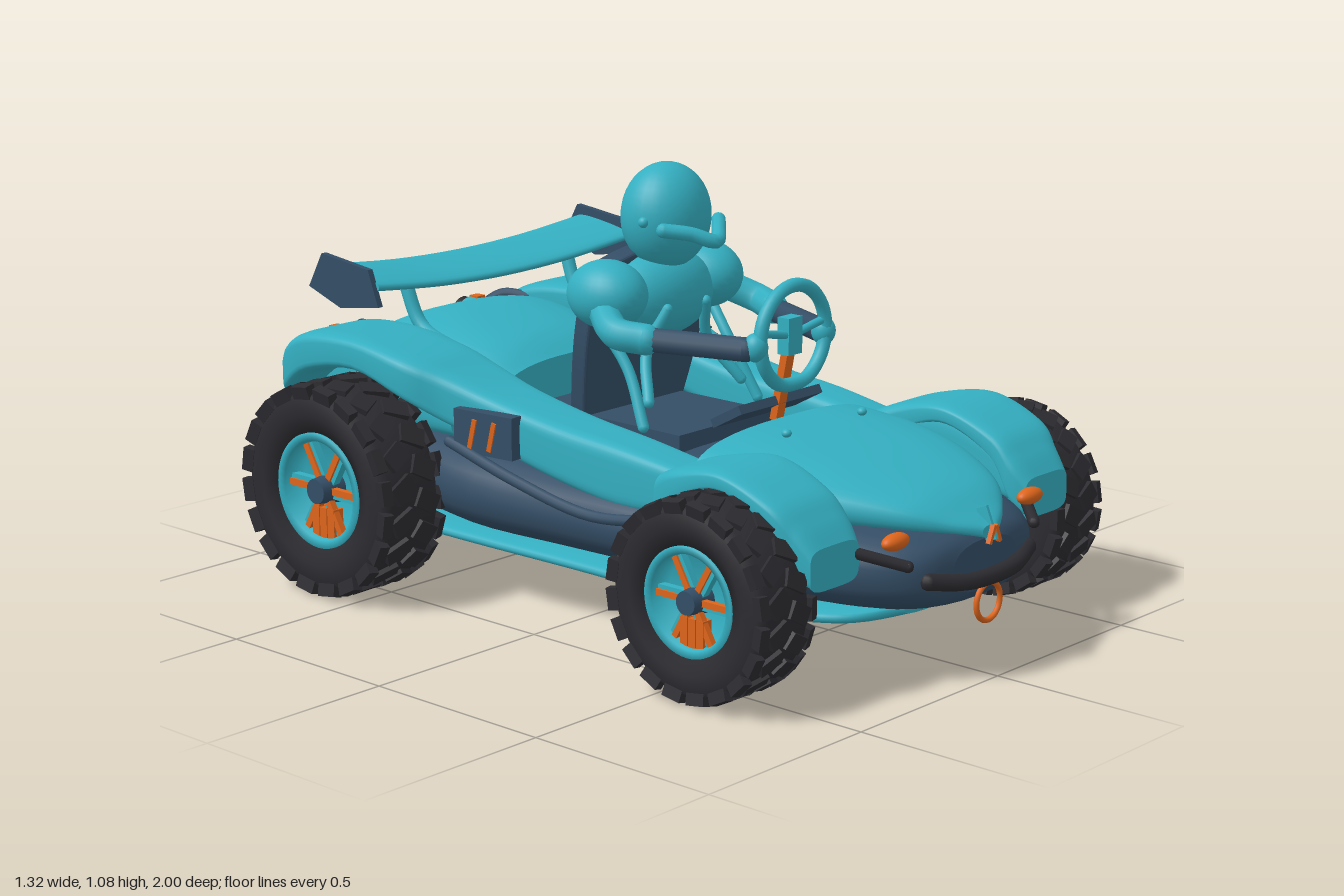
import * as THREE from 'three';

const mat = (name, color) => new THREE.MeshStandardMaterial({ name, color });
const V = (x, y, z) => new THREE.Vector3(x, y, z);

export function createModel() {
  const teal = mat('teal paint', 0x34afc1), navy = mat('navy trim', 0x344e66);
  const orange = mat('orange accent', 0xdd651c), black = mat('black rubber', 0x2c2b30);
  const tealTwoSided = mat('teal rim', 0x34afc1);
  tealTwoSided.side = THREE.DoubleSide;
  const car = new THREE.Group();
  car.name = 'buggy';

  const add = (name, geo, material, pos = [0, 0, 0], rot = [0, 0, 0], parent = car) => {
    const m = new THREE.Mesh(geo, material);
    m.name = name;
    m.position.set(...pos);
    m.rotation.set(...rot);
    parent.add(m);
    return m;
  };
  const box = (x, y, z) => new THREE.BoxGeometry(x, y, z);
  const ball = (name, m, pos, scale) =>
    add(name, new THREE.SphereGeometry(1, 28, 20), m, pos).scale.set(...scale);
  const tube = (name, m, pts, r, closed = false) => {
    const path = new THREE.CatmullRomCurve3(pts.map(p => V(...p)), closed);
    add(name, new THREE.TubeGeometry(path, closed ? 48 : 20, r, 10, closed), m);
    if (!closed) for (const p of [pts[0], pts[pts.length - 1]])
      add(name + 'End', new THREE.SphereGeometry(r, 10, 8), m, p);
  };

  // Smooth hull through rows of [z, centreX, halfWidth, bottom, top], listed front to back
  const hull = (rows, power, steps = 36, n = 40) => {
    const cols = [1, 2, 3, 4].map(k => new THREE.SplineCurve(rows.map(r => new THREE.Vector2(r[0], r[k]))));
    const pos = [], idx = [];
    const se = v => Math.sign(v) * Math.abs(v) ** (2 / power);
    for (let j = 0; j <= steps; j++) {
      const [c, w, b, t] = cols.map(s => s.getPoint(j / steps));
      for (let i = 0; i < n; i++) {
        const a = i / n * Math.PI * 2;
        pos.push(c.y + w.y * se(Math.cos(a)), (b.y + t.y) / 2 + (t.y - b.y) / 2 * se(Math.sin(a)), c.x);
        if (j < steps) {
          const p = j * n + i, q = j * n + (i + 1) % n;
          idx.push(p, p + n, q, q, p + n, q + n);
        }
      }
    }
    // End caps with their own vertices
    for (const j of [0, steps]) {
      const s = pos.length / 3, r = rows[j ? rows.length - 1 : 0];
      for (let i = 0; i < n; i++) pos.push(...pos.slice((j * n + i) * 3, (j * n + i) * 3 + 3));
      pos.push(r[1], (r[3] + r[4]) / 2, r[0]);
      for (let i = 0; i < n; i++) {
        const k = (i + 1) % n;
        idx.push(s + n, s + (j ? k : i), s + (j ? i : k));
      }
    }
    const g = new THREE.BufferGeometry();
    g.setAttribute('position', new THREE.Float32BufferAttribute(pos, 3));
    g.setIndex(idx);
    g.computeVertexNormals();
    return g;
  };

  // Body
  add('tub', hull([[.957, 0, .12, .2, .32], [.93, 0, .21, .175, .345], [.85, 0, .29, .155, .37], [.7, 0, .36, .15, .39],
    [.4, 0, .425, .15, .41], [0, 0, .465, .15, .42], [-.3, 0, .485, .15, .44], [-.6, 0, .43, .17, .47],
    [-.85, 0, .4, .2, .51], [-.93, 0, .34, .24, .49]], 2.5), navy);
  add('hood', hull([[.97, 0, .03, .325, .355], [.93, 0, .1, .335, .38], [.85, 0, .19, .335, .425], [.7, 0, .28, .33, .465],
    [.55, 0, .325, .33, .49], [.45, 0, .335, .33, .5], [.36, 0, .335, .34, .505]], 2.6), teal);
  add('rearDeck', hull([[-.35, 0, .25, .4, .55], [-.45, 0, .27, .4, .6], [-.65, 0, .285, .42, .635], [-.8, 0, .29, .43, .61],
    [-.9, 0, .27, .44, .55], [-.95, 0, .22, .45, .5]], 2.5), teal);
  for (const s of [1, -1]) {
    add('frontFender', hull([[.84, .4 * s, .085, .27, .37], [.8, .4 * s, .1, .3, .42], [.74, .41 * s, .11, .4, .47],
      [.6, .41 * s, .115, .465, .515], [.46, .41 * s, .11, .41, .495], [.37, .38 * s, .1, .32, .46]], 4.5), teal);
    add('frontInnerFender', hull([[.8, .345 * s, .04, .31, .4], [.72, .35 * s, .05, .32, .46], [.6, .355 * s, .055, .32, .5],
      [.46, .355 * s, .055, .32, .48], [.38, .35 * s, .055, .33, .45]], 4), teal);
    add('sidePodAndRearFender', hull([[.37, .345 * s, .065, .34, .455], [.2, .35 * s, .075, .33, .48], [0, .35 * s, .084, .36, .5],
      [-.2, .355 * s, .092, .41, .535], [-.33, .372 * s, .107, .45, .575], [-.43, .4 * s, .125, .5, .61],
      [-.6, .405 * s, .125, .55, .635], [-.77, .4 * s, .13, .52, .627], [-.86, .385 * s, .135, .46, .585],
      [-.93, .35 * s, .11, .43, .49]], 5), teal);
    add('rearInnerFender', hull([[-.36, .35 * s, .07, .4, .56], [-.6, .35 * s, .07, .4, .61], [-.88, .33 * s, .07, .42, .54]], 4), teal);
    tube('sillRail', navy, [[.44 * s, .335, .36], [.462 * s, .315, .15], [.478 * s, .36, -.08], [.482 * s, .42, -.3]], .014);
    add('sidePanel', box(.036, .105, .18), navy, [.46 * s, .455, -.19], [0, -.1 * s, 0]);
    for (const z of [-.16, -.22]) add('panelStripe', box(.006, .075, .013), orange, [(.461 - .1 * (z + .19) + .018) * s, .452, z], [.25, -.1 * s, 0]);
  }
  add('floorPan', hull([[.82, 0, .12, .13, .165], [.72, 0, .26, .112, .16], [.45, 0, .345, .105, .158], [0, 0, .35, .105, .158],
    [-.6, 0, .35, .105, .158], [-.78, 0, .29, .12, .17]], 3), teal);

  // Nose details
  tube('bumper', black, [[-.19, .255, .94], [-.1, .24, .97], [0, .236, .978], [.1, .24, .97], [.19, .255, .94]], .02);
  add('towRing', new THREE.TorusGeometry(.045, .007, 10, 32), orange, [0, .172, .968]);
  add('noseFin', box(.008, .08, .03), teal, [0, .355, .96], [-.4, 0, 0]);
  for (const s of [1, -1]) {
    ball('headlight', orange, [.255 * s, .355, .895], [.043, .02, .022]);
    tube('cornerBar', black, [[.24 * s, .298, .92], [.33 * s, .335, .82]], .014);
    add('noseBadge', box(.009, .045, .012), orange, [.011 * s, .335, .98], [0, 0, .4 * s]);
    ball('hoodPin', teal, [.14 * s, .51, .48], [.012, .01, .012]);
  }

  // Tail details
  tube('tailStrip', orange, [[-.25, .49, -.935], [-.12, .468, -.96], [0, .462, -.968], [.12, .468, -.96], [.25, .49, -.935]], .01);
  add('tailPanel', box(.24, .1, .025), navy, [0, .36, -.945]);
  const finShape = new THREE.Shape([[.74, .14], [.95, .17], [.95, .26], [.88, .25]].map(p => new THREE.Vector2(...p)));
  for (let i = 0; i < 5; i++)
    add('diffuserFin', new THREE.ExtrudeGeometry(finShape, { depth: .014, bevelEnabled: false }), teal,
      [-.227 + i * .11, 0, 0], [0, Math.PI / 2, 0]);
  add('diffuserPlate', box(.45, .012, .2), black, [0, .19, -.85], [.45, 0, 0]);
  for (const s of [1, -1]) {
    add('exhaust', new THREE.CylinderGeometry(.042, .054, .13, 24), teal, [.235 * s, .515, -.91], [-1.35, 0, 0]);
    add('exhaustTip', new THREE.CylinderGeometry(.034, .038, .035, 24), black, [.235 * s, .53, -.98], [-1.35, 0, 0]);
    add('tailLamp', box(.03, .025, .03), orange, [.255 * s, .56, -.955]);
    tube('exhaustStrap', navy, [[.21 * s, .54, -.92], [.255 * s, .59, -.86], [.28 * s, .59, -.78]], .014);
  }

  // Rear wing, bowed upwards at the tips
  const wingRows = [1, .5, 0, -.5, -1].map(t => [t * .455, 0, .1, .03 * t * t - .034, .03 * t * t]);
  add('wing', hull(wingRows, 2.6, 16, 28), teal, [0, .757, -.67], [.15, Math.PI / 2, 0]);
  const plate = new THREE.Shape([[.56, .71], [.595, .8], [.765, .82], [.815, .73], [.7, .69]].map(p => new THREE.Vector2(...p)));
  for (const s of [1, -1]) {
    add('wingEndPlate', new THREE.ExtrudeGeometry(plate, { depth: .016, bevelEnabled: false }), navy,
      [.46 * s - .008, 0, 0], [0, Math.PI / 2, 0]);
    tube('wingStrut', teal, [[.28 * s, .575, -.44], [.285 * s, .63, -.6], [.29 * s, .74, -.655]], .018);
  }

  // Seat, controls and dash
  const back = new THREE.Shape();
  back.moveTo(-.17, 0);
  back.lineTo(.17, 0);
  back.bezierCurveTo(.2, .15, .24, .38, .16, .42);
  back.quadraticCurveTo(0, .47, -.16, .42);
  back.bezierCurveTo(-.24, .38, -.2, .15, -.17, 0);
  add('seatBack', new THREE.ExtrudeGeometry(back, { depth: .035, bevelSize: .008, bevelThickness: .008, bevelSegments: 3, curveSegments: 16 }),
    navy, [0, .43, -.18], [.2, 0, 0]);
  add('seatBase', box(.34, .06, .3), navy, [0, .425, .02]);
  add('dashBar', box(.3, .022, .1), navy, [0, .52, .3], [-.5, 0, 0]);
  add('steeringColumn', box(.028, .2, .02), orange, [0, .59, .35], [.2, 0, 0]);
  add('steeringHub', box(.05, .09, .035), teal, [0, .705, .37]);
  const rim = [];
  for (let i = 0; i < 16; i++) {
    const a = i / 16 * Math.PI * 2;
    rim.push([.12 * Math.cos(a), .705 + Math.max(-.118, .122 * Math.sin(a)), .38]);
  }
  tube('steeringWheel', teal, rim, .017, true);
  for (const a of [.2, Math.PI - .2])
    tube('steeringSpoke', teal, [[0, .705, .375], [.12 * Math.cos(a), .705 + .115 * Math.sin(a), .38]], .01);

  // Driver
  ball('helmet', teal, [0, .945, -.027], [.12, .132, .105]);
  tube('helmetPeak', teal, [[-.1, .93, .055], [-.05, .92, .1], [0, .9, .135], [.05, .92, .1], [.1, .93, .055]], .018);
  add('neck', new THREE.CylinderGeometry(.05, .06, .1, 20), navy, [0, .84, -.05]);
  ball('torso', teal, [0, .75, -.05], [.17, .11, .1]);
  for (const s of [1, -1]) {
    ball('shoulder', teal, [.175 * s, .77, -.06], [.09, .085, .107]);
    tube('upperArm', teal, [[.22 * s, .74, -.03], [.262 * s, .705, .05], [.235 * s, .695, .12]], .038);
    tube('forearm', navy, [[.235 * s, .695, .11], [.14 * s, .69, .35]], .03);
    ball('glove', teal, [.125 * s, .695, .37], [.03, .035, .03]);
    ball('helmetBolt', teal, [.11 * s, .945, .0], [.014, .014, .014]);
    tube('harness', teal, [[.07 * s, .73, .04], [.11 * s, .63, .01], [.17 * s, .52, .07]], .014);
    tube('seatBrace', teal, [[.2 * s, .7, -.06], [.19 * s, .6, .02], [.21 * s, .47, .09]], .014);
  }

  // Wheels: outer face points along local +y, then turned outwards
  const wheel = (name, s, z, R, x, W) => {
    const g = new THREE.Group();
    g.name = name;
    g.position.set(x * s, R, z);
    g.rotation.z = -s * Math.PI / 2;
    car.add(g);
    const h = W / 2, r = R * .53, L = pts => new THREE.LatheGeometry(pts.map(p => new THREE.Vector2(...p)), 48);
    add('tyre', L([[r, -h * .75], [R * .7, -h * .95], [R * .88, -h * .92], [R * .95, -h * .72], [R * .965, 0],
      [R * .95, h * .72], [R * .88, h * .92], [R * .7, h * .95], [r, h * .75], [r, -h * .75]]), black, undefined, undefined, g);
    add('rimDish', L([[.001, h * .25], [r * .8, h * .25], [r * .88, h * .8], [r * 1.02, h * .84], [r * 1.02, h * .7]]), tealTwoSided, undefined, undefined, g);
    add('rimBack', new THREE.CylinderGeometry(r, r, .01, 32), teal, [0, -h * .6, 0], undefined, g);
    add('hub', new THREE.CylinderGeometry(r * .22, r * .28, h * .7, 20), navy, [0, h * .55, 0], undefined, g);
    for (let i = 0; i < 6; i++) {
      const spin = new THREE.Group();
      spin.name = 'spokeMount';
      spin.rotation.y = (i + .5) * Math.PI / 3;
      g.add(spin);
      add('spoke', box(r * .7, h * .16, r * .12), orange, [r * .52, h * .58, 0], undefined, spin);
      add('spokeRib', box(r * .7, h * .2, r * .1), teal, [r * .52, h * .5, r * .09], undefined, spin);
    }
    // Brake caliper low in the rim
    for (const k of [-1, 0, 1])
      add('caliper', box(r * .55, h * .3, r * .17), orange, [s * r * .6, h * .52, k * r * .19], undefined, g);
    // Staggered tread lugs
    for (let i = 0; i < 20; i++) for (const side of [-1, 1]) {
      const spin = new THREE.Group();
      spin.name = 'lugMount';
      spin.rotation.y = (i + (side > 0 ? .5 : 0)) / 20 * Math.PI * 2;
      g.add(spin);
      add('centreLug', box(R * .07, h * .66, R * .18), black, [R * .96, side * h * .36, 0], [side * .5, 0, 0], spin);
      add('shoulderLug', box(R * .12, h * .26, R * .22), black, [R * .925, side * h * .85, 0], [0, 0, side * .25], spin);
    }
  };
  for (const s of [1, -1]) {
    wheel('frontWheel', s, .605, .238, .55, .185);
    wheel('rearWheel', s, -.605, .27, .557, .205);
  }
  return car;
}
